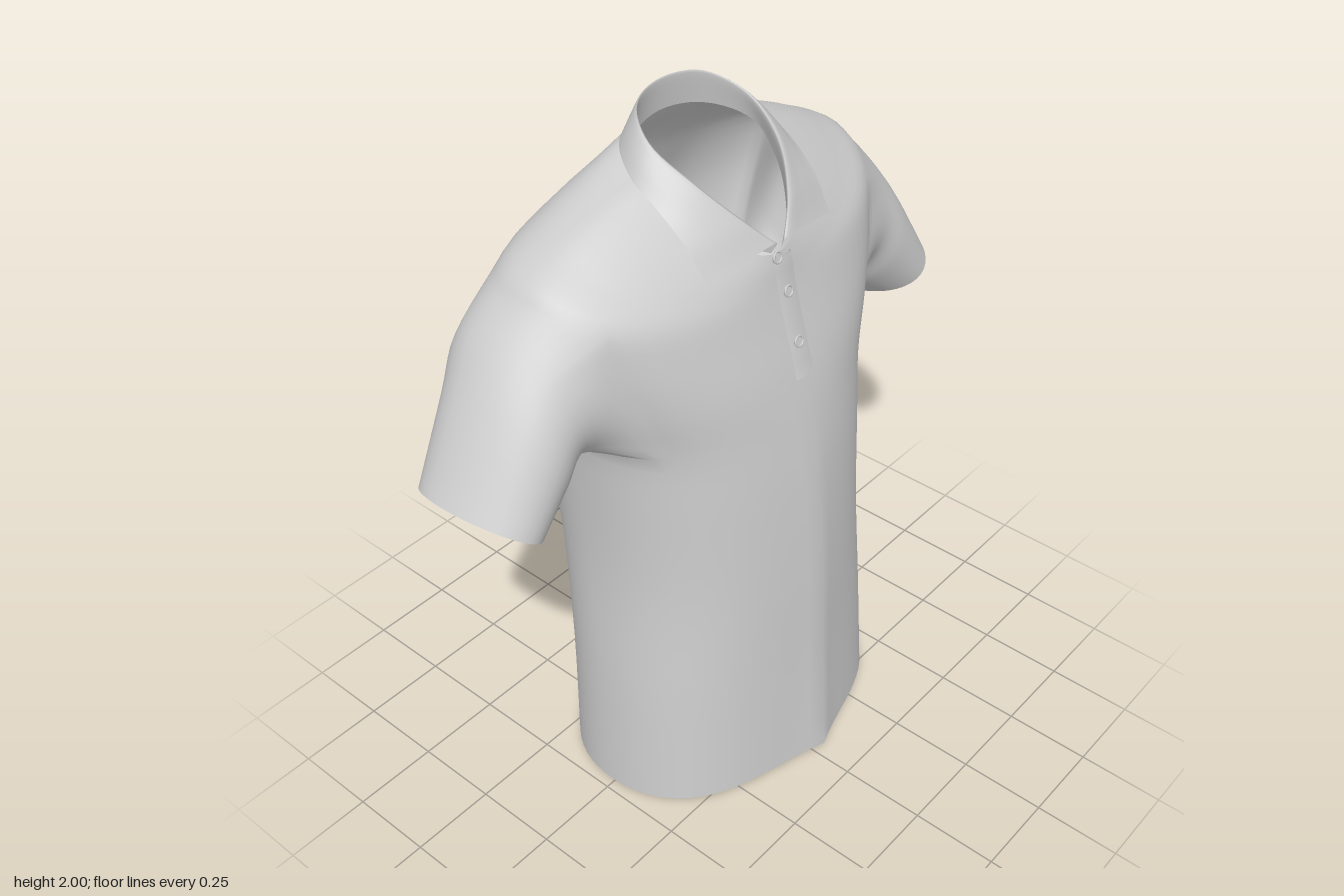
import * as THREE from 'three';

const V = (x, y, z) => new THREE.Vector3(x, y, z);
const spline = pts => new THREE.CatmullRomCurve3(pts);
const material = new THREE.MeshStandardMaterial({ color: 0xcccccc, side: THREE.DoubleSide });

function makeMesh(name, points, index) {
  const geo = new THREE.BufferGeometry().setFromPoints(points);
  geo.setIndex(index);
  geo.computeVertexNormals();
  const mesh = new THREE.Mesh(geo, material);
  mesh.name = name;
  return mesh;
}

// Open sheet through rows of points
function loft(name, rows) {
  const n = rows[0].length, index = [];
  for (let i = 0; i < rows.length - 1; i++) for (let j = 0; j < n - 1; j++) {
    const a = i * n + j, b = a + n;
    index.push(a, b, b + 1, a, b + 1, a + 1);
  }
  return makeMesh(name, rows.flat(), index);
}

// Body sections from hem to neckline: y front, y side, y back, half width, z front, z side, z back,
// front crease, spine dent, shoulder blade bulge, front squareness, back squareness
const sections = [
  [0.06, 0.03, 0.00, 0.485, 0.41, 0.015, -0.345, 0.05, 0.00, 0.00, 2.1, 2.2],
  [0.40, 0.40, 0.40, 0.463, 0.388, 0.00, -0.357, 0.04, 0.01, 0.005, 2.1, 2.2],
  [0.75, 0.75, 0.75, 0.44, 0.37, -0.03, -0.377, 0.03, 0.03, 0.015, 2.1, 2.3],
  [1.04, 1.05, 1.05, 0.448, 0.342, -0.05, -0.395, 0.02, 0.05, 0.025, 2.15, 2.4],
  [1.22, 1.24, 1.25, 0.47, 0.31, -0.075, -0.405, 0.01, 0.06, 0.025, 2.25, 2.5],
  [1.36, 1.40, 1.40, 0.53, 0.275, -0.09, -0.40, 0.00, 0.055, 0.02, 2.35, 2.65],
  [1.48, 1.56, 1.56, 0.58, 0.24, -0.10, -0.38, 0.00, 0.04, 0.01, 2.35, 2.7],
  [1.56, 1.69, 1.70, 0.585, 0.218, -0.10, -0.335, 0.00, 0.015, 0.00, 2.25, 2.6],
  [1.60, 1.76, 1.795, 0.475, 0.209, -0.09, -0.283, 0.00, 0.00, 0.00, 2.1, 2.4],
  [1.63, 1.81, 1.86, 0.36, 0.203, -0.07, -0.237, 0.00, 0.00, 0.00, 1.95, 2.3],
  [1.66, 1.86, 1.92, 0.215, 0.195, -0.05, -0.20, 0.00, 0.00, 0.00, 1.9, 2.3],
];
const COLS = 72, SUB = 4, ROWS = (sections.length - 1) * SUB;

function sectionPoint([yF, yS, yB, w, zF, zS, zB, crease, dent, blade, pF, pB], angle) {
  const c = Math.cos(angle), s = Math.sin(angle), front = s >= 0;
  const e = 2 / (front ? pF : pB);
  const x = w * Math.sign(c) * Math.abs(c) ** e;
  const k = Math.abs(s), ax = Math.abs(x);
  const y = yS + ((front ? yF : yB) - yS) * k ** 1.3;
  let z = zS + ((front ? zF : zB) - zS) * k ** e;
  if (front) z -= crease * k ** 3 * (1 - Math.exp(-ax / 0.12));
  else z += k * (dent * Math.exp(-((x / 0.13) ** 2)) - blade * Math.exp(-(((ax - 0.25) / 0.08) ** 2)));
  return V(x, y, z);
}
const columnCurve = j => spline(sections.map(s => sectionPoint(s, j / COLS * Math.PI * 2)));

// Sleeve rings: centre, half height vector (x, y), half depth in z
const sleeveRings = [
  { c: V(0.60, 1.415, -0.105), hx: 0.07, hy: 0.195, hz: 0.203 },
  { c: V(0.675, 1.335, -0.085), hx: 0.078, hy: 0.162, hz: 0.19 },
  { c: V(0.785, 1.195, -0.065), hx: 0.107, hy: 0.073, hz: 0.175 },
];

// Body and sleeves as one continuous cloth
function buildShirt() {
  const points = [], index = [];
  const columns = Array.from({ length: COLS }, (_, j) => columnCurve(j));
  for (let i = 0; i <= ROWS; i++) for (const col of columns) points.push(col.getPoint(i / ROWS));
  const id = (i, j) => i * COLS + ((j % COLS) + COLS) % COLS;

  // Armholes are left open in the side columns
  const r0 = 4 * SUB, r1 = 7 * SUB, jBack = -7, jFront = 7;
  const inHole = (i, j) => {
    if (i < r0 || i >= r1) return false;
    const left = j >= COLS / 2 + 18 ? j - COLS : j;
    const right = COLS / 2 - 1 - j;
    return [left, right].some(k => k >= jBack && k < jFront);
  };
  for (let i = 0; i < ROWS; i++) for (let j = 0; j < COLS; j++) {
    if (inHole(i, j)) continue;
    const a = id(i, j), b = id(i + 1, j), c = id(i + 1, j + 1), d = id(i, j + 1);
    index.push(a, b, c, a, c, d);
  }

  // Armhole loop: up the front, back over the shoulder, down, forward under the arm
  const loop = [];
  for (let i = r0; i < r1; i++) loop.push([i, jFront]);
  for (let j = jFront; j > jBack; j--) loop.push([r1, j]);
  for (let i = r1; i > r0; i--) loop.push([i, jBack]);
  for (let j = jBack; j < jFront; j++) loop.push([r0, j]);

  const steps = 15, n = loop.length;
  for (const side of [1, -1]) {
    const rings = [loop.map(([i, j]) => id(i, side > 0 ? j : COLS / 2 - j))];
    for (let k = 1; k <= steps; k++) rings.push([]);
    for (const [i, j] of loop) {
      const start = points[id(i, j)];
      const t = Math.atan2((start.y - 1.46) / 0.21, (start.z + 0.09) / 0.19);
      const up = Math.sin(t), out = Math.cos(t);
      const path = spline([start, ...sleeveRings.map(r =>
        V(r.c.x + r.hx * up, r.c.y + r.hy * up, r.c.z + r.hz * out - 0.03 * up * up))]);
      for (let k = 1; k <= steps; k++) {
        const p = path.getPoint(k / steps);
        rings[k].push(points.push(V(p.x * side, p.y, p.z)) - 1);
      }
    }
    for (let k = 0; k < steps; k++) for (let m = 0; m < n; m++) {
      const m2 = (m + 1) % n;
      const a = rings[k][m], b = rings[k + 1][m], c = rings[k + 1][m2], d = rings[k][m2];
      if (side > 0) index.push(a, b, c, a, c, d);
      else index.push(a, c, b, a, d, c);
    }
  }
  return makeMesh('shirtBodyAndSleeves', points, index);
}

// Half of a neck curve (front to back), mirrored into a whole one
function neckCurve(half) {
  const left = half.map(p => V(...p));
  const right = half.slice(0, -1).reverse().map(([x, y, z]) => V(-x, y, z));
  return spline([...left, ...right]);
}

// Folded collar: inner stand, rounded fold, and fall with front points
function buildCollar() {
  const base = neckCurve([[0.02, 1.66, 0.185], [0.10, 1.70, 0.135], [0.17, 1.78, 0.05],
    [0.195, 1.855, -0.05], [0.14, 1.89, -0.155], [0, 1.91, -0.19]]);
  const fold = neckCurve([[0.015, 1.69, 0.198], [0.085, 1.765, 0.15], [0.155, 1.86, 0.06],
    [0.178, 1.935, -0.06], [0.12, 1.985, -0.15], [0, 1.998, -0.183]]);
  const edge = neckCurve([[0.232, 1.657, 0.17], [0.243, 1.75, 0.105], [0.247, 1.82, 0.02],
    [0.24, 1.862, -0.06], [0.15, 1.897, -0.182], [0, 1.915, -0.214]]);
  const rows = [], m = 60;
  for (let k = 0; k <= m; k++) {
    const a = base.getPoint(k / m), b = fold.getPoint(k / m), c = edge.getPoint(k / m);
    const mid = b.clone().lerp(c, 0.5).add(V(0, 0.006, 0.002));
    rows.push(spline([a, b, mid, c]).getPoints(15));
  }
  return loft('collar', rows);
}

// Raised button placket down the centre front
const frontLine = columnCurve(COLS / 4);
function buildPlacket() {
  const rows = [];
  for (let k = 0; k <= 20; k++) {
    const p = frontLine.getPoint(0.48 + 0.49 * k / 20);
    rows.push([[-0.03, -0.008], [-0.03, 0.004], [0.035, 0.004], [0.035, -0.008]]
      .map(([x, dz]) => V(x, p.y, p.z + dz)));
  }
  return loft('placket', rows.reverse());
}

// Buttons with a raised rim
function buildButton(x, t) {
  const group = new THREE.Group();
  group.name = 'button';
  const disc = new THREE.Mesh(new THREE.CylinderGeometry(0.015, 0.015, 0.006, 20), material);
  disc.rotation.x = Math.PI / 2;
  disc.name = 'buttonDisc';
  const rim = new THREE.Mesh(new THREE.TorusGeometry(0.014, 0.003, 8, 20), material);
  rim.position.z = 0.003;
  rim.name = 'buttonRim';
  group.add(disc, rim);
  const p = frontLine.getPoint(t), d = frontLine.getTangent(t);
  group.position.set(x, p.y, p.z + 0.006);
  group.rotation.x = -Math.atan2(-d.z, d.y);
  return group;
}

export function createModel() {
  const model = new THREE.Group();
  model.name = 'poloShirt';
  model.add(buildShirt(), buildCollar(), buildPlacket());
  for (const [x, t] of [[0, 0.555], [0, 0.7], [-0.02, 0.985]]) model.add(buildButton(x, t));
  return model;
}
